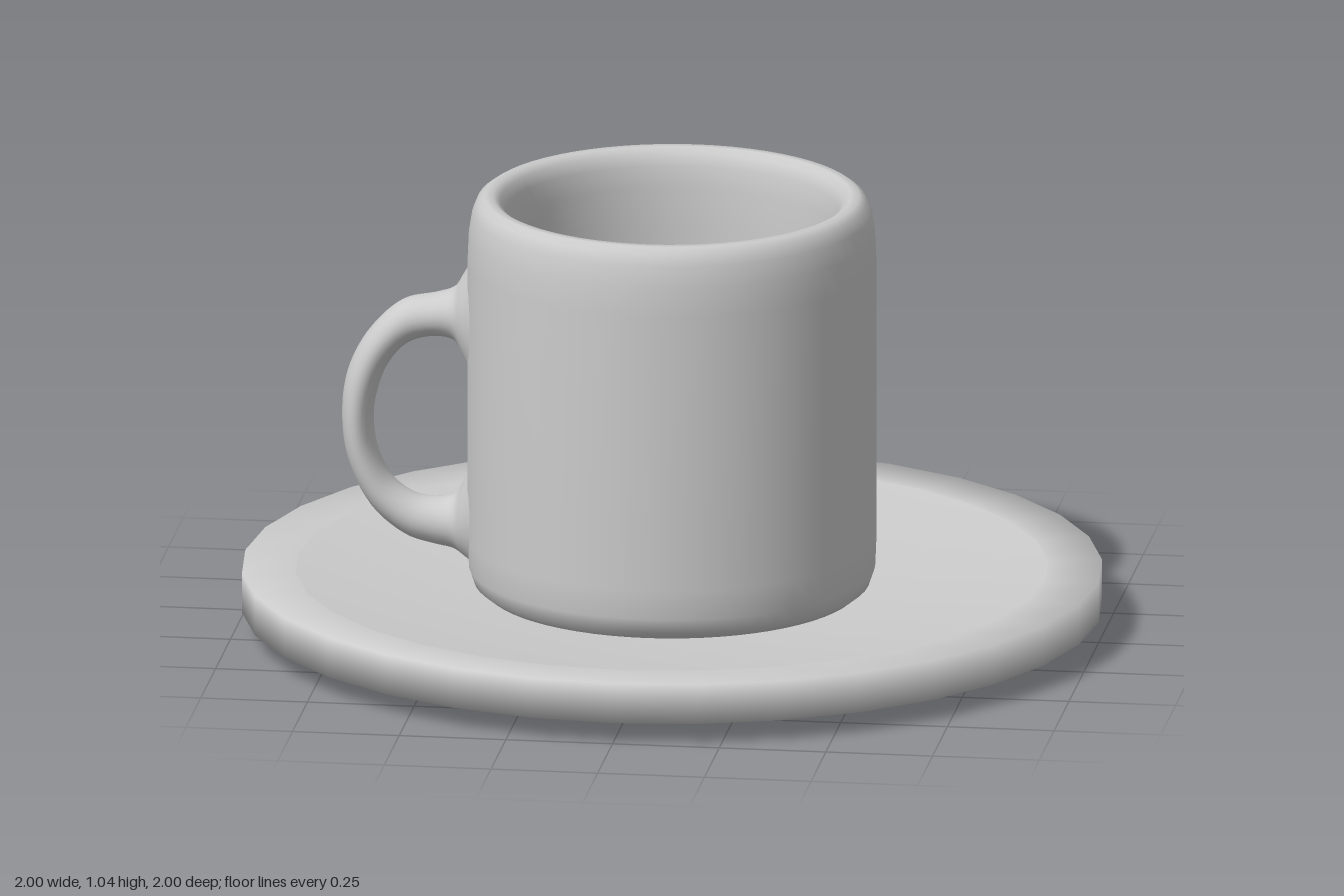
import * as THREE from 'three';

const material = new THREE.MeshStandardMaterial({ color: 0xcccccc, side: THREE.DoubleSide });
const v2 = ([x, y]) => new THREE.Vector2(x, y);

function lathe(name, profile, segments) {
  const mesh = new THREE.Mesh(new THREE.LatheGeometry(profile.map(v2), segments), material);
  mesh.name = name;
  return mesh;
}

// Loops of oval sections, each spanning an inner and an outer point of the handle
function handleGeometry(stations, steps = 72, sides = 24) {
  const spline = (f) => new THREE.CatmullRomCurve3(stations.map(f));
  const outer = spline((s) => new THREE.Vector3(s[0], s[1], 0));
  const inner = spline((s) => new THREE.Vector3(s[2], s[3], 0));
  const width = spline((s, i) => new THREE.Vector3(i, s[4], 0));
  const positions = [], index = [];
  for (let i = 0; i <= steps; i++) {
    const t = i / steps;
    const o = outer.getPoint(t), n = inner.getPoint(t), w = width.getPoint(t).y;
    for (let j = 0; j < sides; j++) {
      const a = (j / sides) * Math.PI * 2;
      const p = n.clone().lerp(o, 0.5 + 0.5 * Math.cos(a));
      positions.push(p.x, p.y, w * Math.sin(a));
      if (i < steps) {
        const k = (j + 1) % sides, r = i * sides, s = r + sides;
        index.push(r + j, r + k, s + j, r + k, s + k, s + j);
      }
    }
  }
  const geometry = new THREE.BufferGeometry();
  geometry.setAttribute('position', new THREE.Float32BufferAttribute(positions, 3));
  geometry.setIndex(index);
  geometry.computeVertexNormals();
  return geometry;
}

export function createModel() {
  const model = new THREE.Group();
  model.name = 'cupAndSaucer';

  // Saucer: separate lathes keep the creases sharp
  const saucer = new THREE.Group();
  saucer.name = 'saucer';
  saucer.add(
    lathe('saucerBase', [[0, 0], [0.77, 0]], 32),
    lathe('saucerRim', [[0.77, 0], [0.87, 0.05], [1, 0.05], [1, 0.145], [0.875, 0.143]], 32),
    lathe('saucerDish', [[0.875, 0.143], [0.42, 0.088], [0, 0.085]], 32),
  );

  // Cup: rounded foot, straight wall, soft lip and hollow inside
  const cup = new THREE.Group();
  cup.name = 'cup';
  cup.add(lathe('cupBody', [
    [0, 0.088], [0.40, 0.088], [0.435, 0.095], [0.46, 0.115], [0.472, 0.15], [0.475, 0.22],
    [0.475, 0.88], [0.472, 0.95], [0.464, 1.0], [0.452, 1.028], [0.435, 1.04],
    [0.415, 1.04], [0.398, 1.028], [0.388, 1.0], [0.382, 0.95], [0.38, 0.85],
    [0.38, 0.25], [0.374, 0.21], [0.355, 0.19], [0.32, 0.185], [0, 0.185],
  ], 64));

  // Handle: outer x, y, inner x, y, half width; flared where it meets the cup
  const handle = new THREE.Mesh(handleGeometry([
    [-0.45, 0.90, -0.45, 0.57, 0.14],
    [-0.487, 0.835, -0.483, 0.635, 0.095],
    [-0.51, 0.80, -0.505, 0.672, 0.07],
    [-0.55, 0.785, -0.55, 0.682, 0.06],
    [-0.63, 0.765, -0.615, 0.665, 0.058],
    [-0.71, 0.69, -0.665, 0.61, 0.06],
    [-0.76, 0.59, -0.69, 0.545, 0.063],
    [-0.772, 0.48, -0.70, 0.48, 0.065],
    [-0.755, 0.37, -0.69, 0.405, 0.063],
    [-0.70, 0.265, -0.655, 0.335, 0.06],
    [-0.62, 0.20, -0.60, 0.298, 0.058],
    [-0.55, 0.18, -0.55, 0.292, 0.06],
    [-0.51, 0.172, -0.508, 0.303, 0.07],
    [-0.487, 0.158, -0.483, 0.345, 0.095],
    [-0.45, 0.13, -0.45, 0.41, 0.14],
  ]), material);
  handle.name = 'handle';
  cup.add(handle);

  model.add(saucer, cup);
  return model;
}
